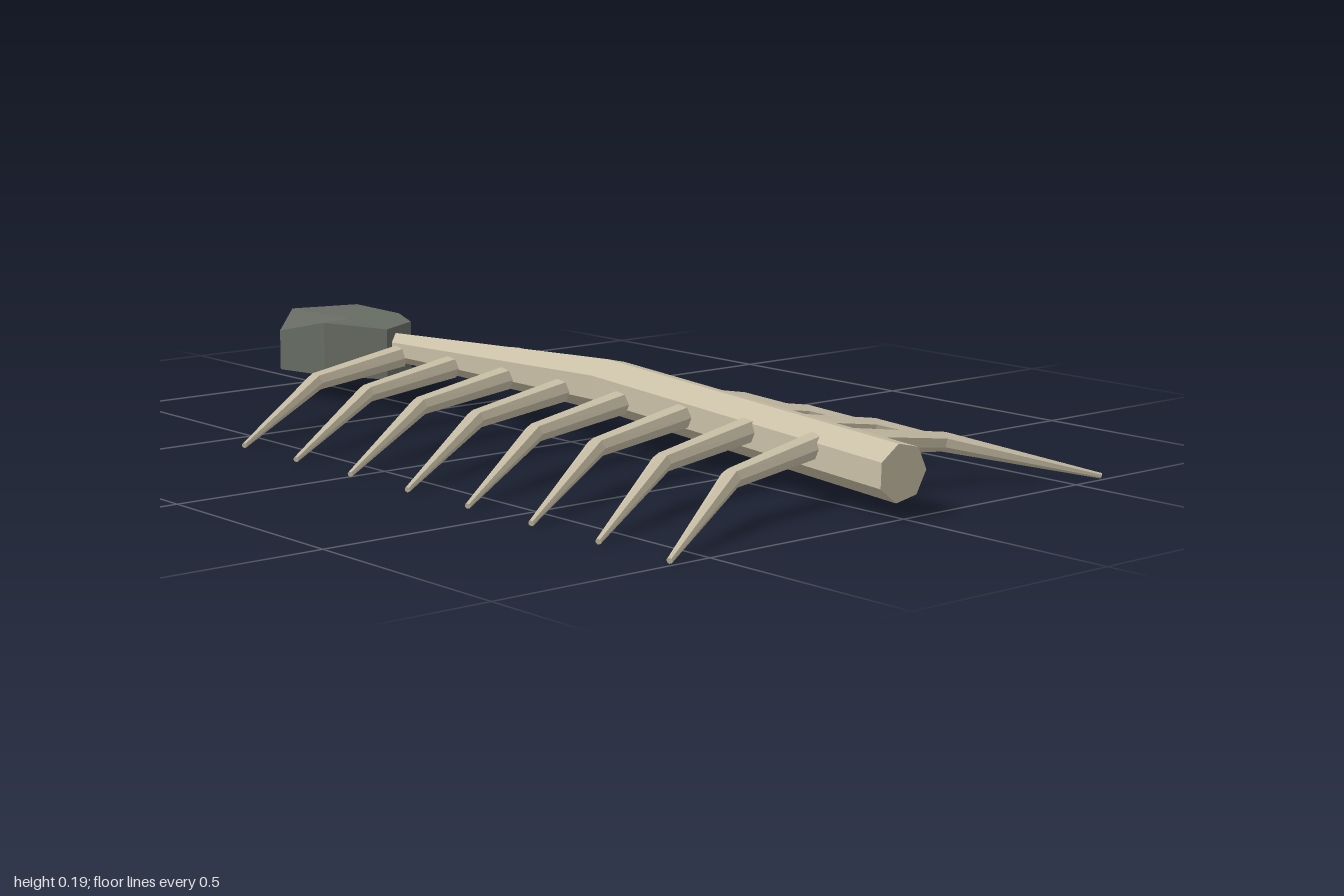
import * as THREE from 'three';

const bone = new THREE.MeshStandardMaterial({ color: 0xc9bfa6, flatShading: true });
bone.name = 'bone';
const stone = new THREE.MeshStandardMaterial({ color: 0x676c63, flatShading: true });
stone.name = 'stone';

// Skin a stack of equal-length rings and close both ends with fans.
function loft(rings, name, material) {
  const n = rings[0].length, pos = [], idx = [];
  rings.forEach(r => r.forEach(p => pos.push(p.x, p.y, p.z)));
  for (let i = 0; i < rings.length - 1; i++) {
    for (let j = 0; j < n; j++) {
      const a = i * n + j, b = i * n + (j + 1) % n;
      idx.push(a, b, b + n, a, b + n, a + n);
    }
  }
  [0, rings.length - 1].forEach(k => {
    const c = rings[k].reduce((s, p) => s.add(p), new THREE.Vector3()).divideScalar(n);
    const m = pos.length / 3;
    pos.push(c.x, c.y, c.z);
    for (let j = 0; j < n; j++) {
      const a = k * n + j, b = k * n + (j + 1) % n;
      if (k === 0) idx.push(m, b, a);
      else idx.push(m, a, b);
    }
  });
  const g = new THREE.BufferGeometry();
  g.setAttribute('position', new THREE.Float32BufferAttribute(pos, 3));
  g.setIndex(idx);
  g.computeVertexNormals();
  const mesh = new THREE.Mesh(g, material);
  mesh.name = name;
  return mesh;
}

// Tapered limb through [x, y, z, radius] stations.
function limb(stations, sides, name) {
  const pts = stations.map(s => new THREE.Vector3(s[0], s[1], s[2]));
  const rings = pts.map((p, i) => {
    const dir = pts[Math.min(i + 1, pts.length - 1)].clone().sub(pts[Math.max(i - 1, 0)]).normalize();
    const side = new THREE.Vector3().crossVectors(new THREE.Vector3(0, 1, 0), dir).normalize();
    const up = new THREE.Vector3().crossVectors(dir, side);
    return Array.from({ length: sides }, (_, j) => {
      const a = j / sides * Math.PI * 2;
      return p.clone().addScaledVector(side, Math.cos(a) * stations[i][3])
        .addScaledVector(up, Math.sin(a) * stations[i][3]);
    });
  });
  return loft(rings, name, bone);
}

export function createModel() {
  const model = new THREE.Group();
  model.name = 'boneClub';

  // Bowed spine, running back to front
  model.add(limb([
    [0.005, 0.135, -0.65, 0.034],
    [0.08, 0.128, 0.04, 0.06],
    [0, 0.095, 0.995, 0.06],
  ], 7, 'spine'));

  // Eight pairs of drooping ribs
  for (let i = 0; i < 8; i++) {
    const tip = -0.393 + i * 0.1975;
    const z = tip - 0.215;
    const bow = z < 0.04 ? 0.08 * (z + 0.65) / 0.69 : 0.08 * (0.995 - z) / 0.955;
    for (const s of [-1, 1]) {
      const root = s < 0 ? -0.018 : bow + 0.04;
      model.add(limb([
        [root, 0.118, z, 0.027],
        [s * 0.29, 0.095, tip - 0.163, 0.021],
        [s * 0.588, 0.011, tip, 0.006],
      ], 7, s > 0 ? 'leftRib' : 'rightRib'));
    }
  }

  // Chipped stone head: outline as [x, z, top height]
  const outline = [
    [-0.05, -0.61, 0.185], [0.085, -0.7, 0.18], [0.13, -0.81, 0.183], [0.12, -0.97, 0.188],
    [-0.05, -1, 0.19], [-0.16, -0.89, 0.16], [-0.13, -0.75, 0.192],
  ];
  model.add(loft([
    outline.map(([x, z]) => new THREE.Vector3(x, 0.067, z)),
    outline.map(([x, z, y]) => new THREE.Vector3(x, y, z)),
  ], 'stoneHead', stone));

  return model;
}
